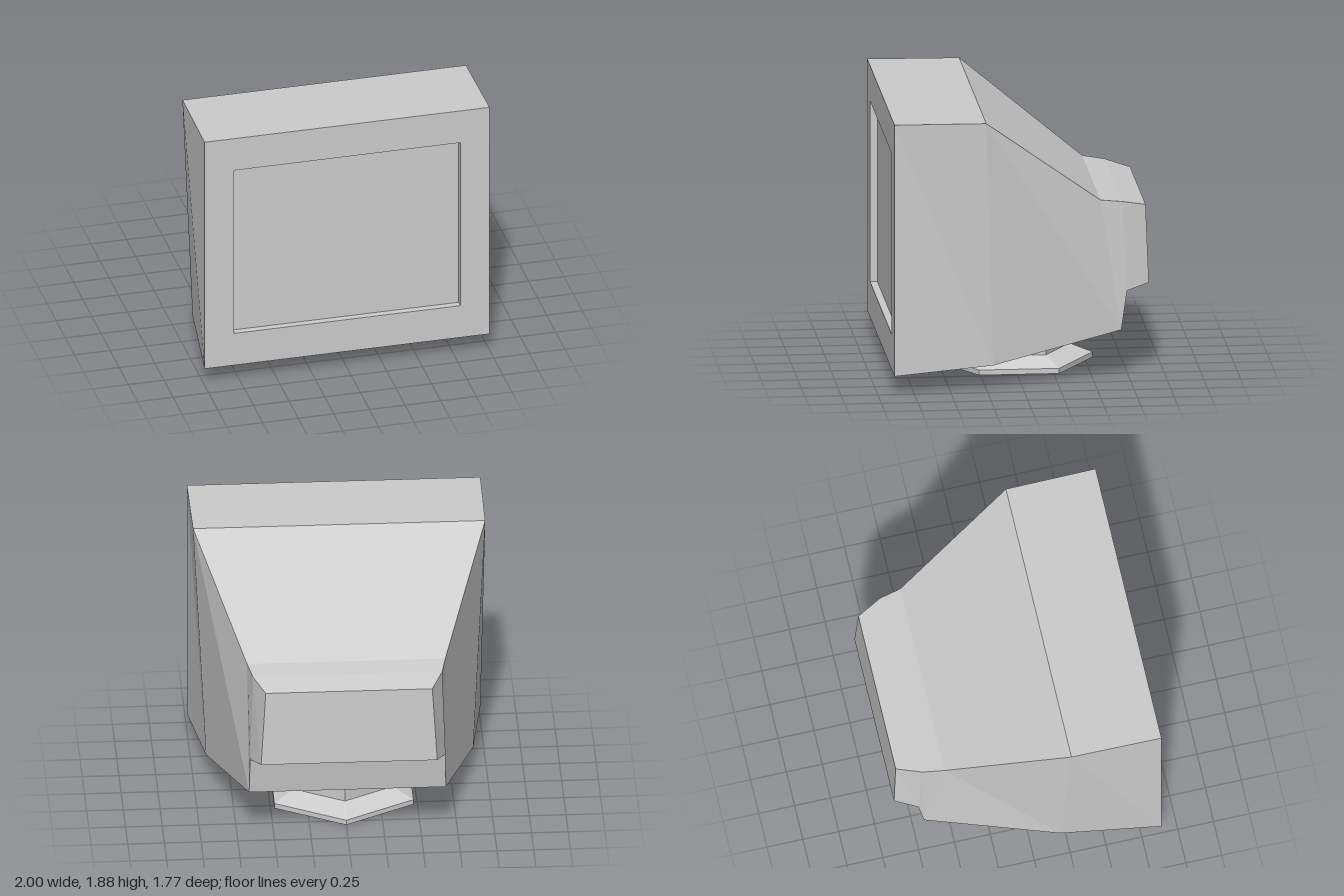
import * as THREE from 'three';

const casing = new THREE.MeshStandardMaterial({ color: 0xcccccc });
casing.name = 'casing grey';

function part(name, geometry) {
  const mesh = new THREE.Mesh(geometry, casing);
  mesh.name = name;
  return mesh;
}

// Flat facets with one normal per face
function faceted(geometry) {
  const flat = geometry.index ? geometry.toNonIndexed() : geometry;
  flat.computeVertexNormals();
  return flat;
}

// Each section: half width, y, z of its top edge, then of its bottom edge
function ring([tw, ty, tz, bw, by, bz]) {
  return [[-bw, by, bz], [bw, by, bz], [tw, ty, tz], [-tw, ty, tz]];
}

// Four-sided skin through the sections, front to back
function loft(sections, capped) {
  const rings = sections.map(ring);
  const pos = [];
  for (let s = 0; s < rings.length - 1; s++) {
    const a = rings[s], b = rings[s + 1];
    for (let i = 0; i < 4; i++) {
      const j = (i + 1) % 4;
      pos.push(...a[i], ...b[i], ...a[j], ...a[j], ...b[i], ...b[j]);
    }
  }
  if (capped) {
    const e = rings[rings.length - 1];
    pos.push(...e[0], ...e[2], ...e[1], ...e[0], ...e[3], ...e[2]);
  }
  const g = new THREE.BufferGeometry();
  g.setAttribute('position', new THREE.Float32BufferAttribute(pos, 3));
  return faceted(g);
}

function rectangle(Type, w, y0, y1) {
  return new Type([[-w, y0], [w, y0], [w, y1], [-w, y1]].map(p => new THREE.Vector2(...p)));
}

export function createModel() {
  const model = new THREE.Group();
  model.name = 'monitor';

  // Tapering housing with the stepped rear
  model.add(part('housing', loft([
    [1, 1.881, 0.887, 1, 0.127, 0.887],
    [0.995, 1.877, 0.26, 0.91, 0.168, 0.205],
    [0.675, 1.252, -0.55, 0.67, 0.342, -0.693],
    [0.645, 1.232, -0.7, 0.665, 0.613, -0.732],
    [0.567, 1.19, -0.868, 0.6, 0.652, -0.887],
  ], true)));

  // Front frame around the screen opening
  const w = 0.795, y0 = 0.373, y1 = 1.635, front = 0.887, back = 0.837;
  const frame = rectangle(THREE.Shape, 1, 0.127, 1.881);
  frame.holes.push(rectangle(THREE.Path, w, y0, y1));
  const bezel = part('bezel', new THREE.ShapeGeometry(frame));
  bezel.position.z = front;
  model.add(bezel);

  // Inward-facing walls of the recess, and the flat screen
  model.add(part('screenRecess', loft([
    [w, y1, back, w, y0, back],
    [w, y1, front, w, y0, front],
  ], false)));
  const screen = part('screen', new THREE.PlaneGeometry(2 * w, y1 - y0));
  screen.position.set(0, (y0 + y1) / 2, back);
  model.add(screen);

  // Six-sided swivel foot and neck
  const profile = [[0, 0], [0.547, 0], [0.547, 0.036], [0.39, 0.101], [0.39, 0.222], [0.26, 0.362]]
    .map(p => new THREE.Vector2(...p));
  const stand = part('stand', faceted(new THREE.LatheGeometry(profile, 6)));
  stand.position.z = -0.013;
  model.add(stand);

  return model;
}
